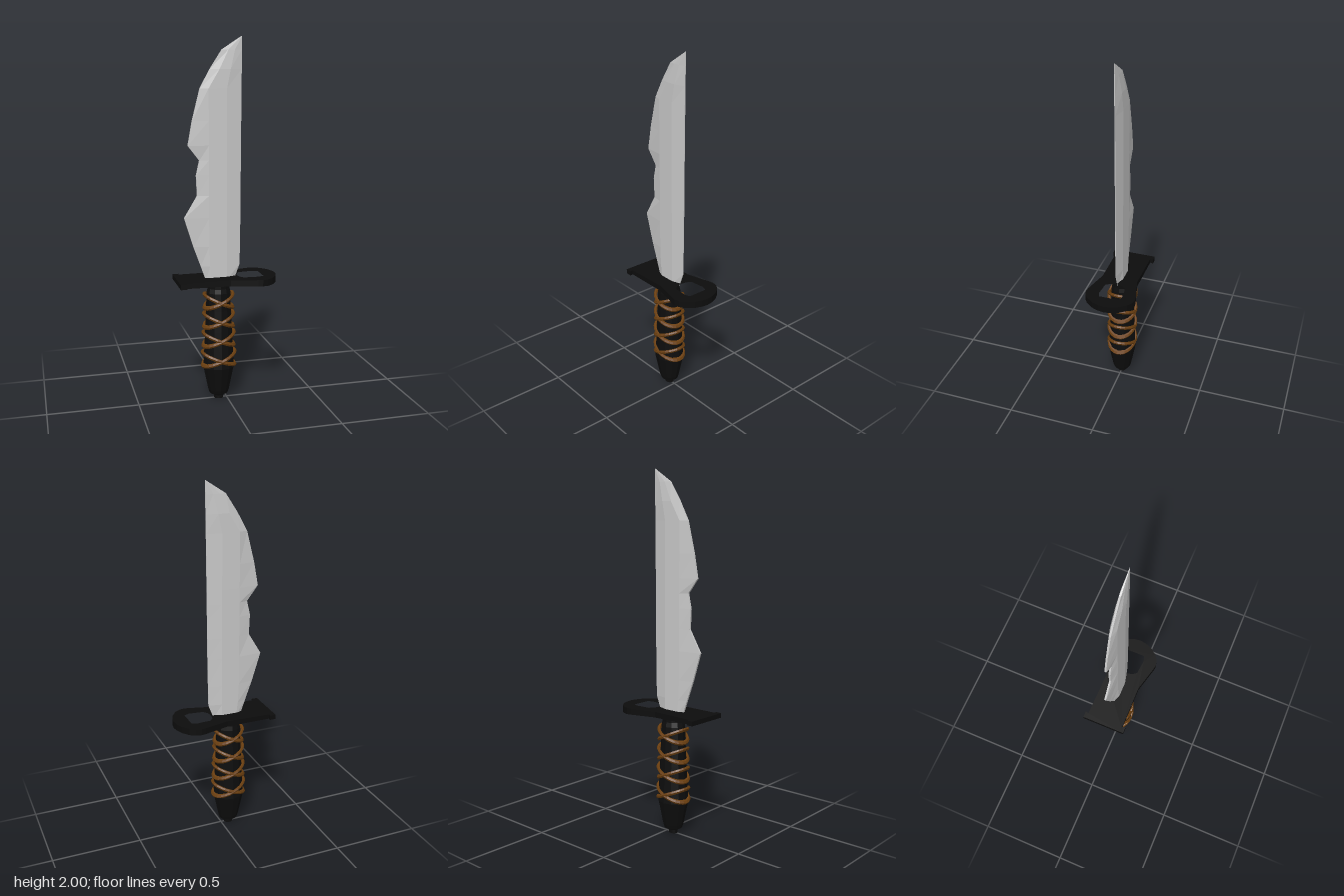
import * as THREE from 'three';

const mat = (name, color, flatShading = true) => {
  const m = new THREE.MeshStandardMaterial({ color, flatShading });
  m.name = name;
  return m;
};

// Rows from guard to tip: y, cutting edge x, front ridge x, back ridge x, spine x, half thickness
const BLADE = [
  [0.69, -0.117, -0.085, 0.0, 0.045, 0.018],
  [0.77, -0.145, -0.095, 0.0, 0.075, 0.018],
  [0.88, -0.185, -0.1, 0.0, 0.077, 0.018],
  [1.04, -0.235, -0.1, 0.0, 0.079, 0.018],
  [1.16, -0.163, -0.1, 0.0, 0.08, 0.018],
  [1.27, -0.168, -0.1, 0.0, 0.08, 0.018],
  [1.35, -0.15, -0.1, 0.0, 0.081, 0.018],
  [1.43, -0.212, -0.1, 0.0, 0.081, 0.018],
  [1.56, -0.188, -0.1, 0.0, 0.082, 0.018],
  [1.73, -0.145, -0.1, 0.0, 0.083, 0.018],
  [1.83, -0.09, -0.04, 0.02, 0.084, 0.017],
  [1.93, -0.025, 0.01, 0.045, 0.085, 0.009],
  [2.0, 0.083, 0.084, 0.085, 0.086, 0.001],
];

function bladeGeometry() {
  const pos = [], idx = [], n = 8;
  for (const [y, edge, a, b, spine, t] of BLADE) {
    const e = Math.min(0.005, t), s = Math.min(0.002, t);
    const ring = [[edge, e], [a, t], [b, t], [spine, s], [spine, -s], [b, -t], [a, -t], [edge, -e]];
    for (const [x, z] of ring) pos.push(x, y, z);
  }
  for (let r = 0; r < BLADE.length - 1; r++) {
    for (let i = 0; i < n; i++) {
      const p = r * n + i, q = r * n + (i + 1) % n;
      idx.push(p, q, q + n, p, q + n, p + n);
    }
  }
  // Close the tip
  const top = (BLADE.length - 1) * n;
  for (let i = 1; i < n - 1; i++) idx.push(top, top + i, top + i + 1);
  const g = new THREE.BufferGeometry();
  g.setAttribute('position', new THREE.Float32BufferAttribute(pos, 3));
  g.setIndex(idx);
  g.computeVertexNormals();
  return g;
}

// Closed outline mirrored across the long axis of the guard
function mirrored(half) {
  const pts = half.map(([x, y]) => new THREE.Vector2(x, y));
  const back = half.filter(([, y]) => y > 0).reverse().map(([x, y]) => new THREE.Vector2(x, -y));
  return [...pts, ...back];
}

function guardGeometry() {
  const shape = new THREE.Shape(mirrored([
    [-0.28, 0.123], [-0.245, 0.123], [-0.248, 0.105], [0, 0.102], [0.145, 0.138], [0.17, 0.142],
    [0.2, 0.135], [0.23, 0.115], [0.26, 0.075], [0.275, 0.035], [0.28, 0],
  ]));
  shape.holes.push(new THREE.Path(mirrored([
    [0.06, 0], [0.066, 0.035], [0.085, 0.06], [0.135, 0.063], [0.165, 0.067], [0.197, 0.056],
  ])));
  const g = new THREE.ExtrudeGeometry(shape, { depth: 1, bevelEnabled: false });
  g.translate(0, 0, -0.5);
  g.rotateX(-Math.PI / 2);
  // Thickness grows gently towards the ring end
  const p = g.attributes.position;
  for (let i = 0; i < p.count; i++) {
    const thickness = 0.032 + 0.022 * p.getX(i);
    p.setY(i, 0.69 + p.getY(i) * thickness);
  }
  g.computeVertexNormals();
  return g;
}

export function createModel() {
  const model = new THREE.Group();
  const steel = mat('steel', 0xc8c8c8);
  const black = mat('black', 0x0d0d0d);
  const leather = mat('leather', 0x6b3f10);
  const add = (name, geometry, material, parent = model) => {
    const mesh = new THREE.Mesh(geometry, material);
    mesh.name = name;
    parent.add(mesh);
    return mesh;
  };

  add('blade', bladeGeometry(), steel);
  add('guard', guardGeometry(), black);

  // Faceted grip with tapered pommel
  const profile = [[0, 0], [0.026, 0], [0.026, 0.018], [0.052, 0.032], [0.06, 0.055], [0.088, 0.19],
    [0.085, 0.24], [0.077, 0.4], [0.071, 0.52], [0.068, 0.62], [0.062, 0.645], [0.062, 0.69]]
    .map(([x, y]) => new THREE.Vector2(x, y));
  const grip = add('grip', new THREE.LatheGeometry(profile, 12), black);
  grip.position.x = -0.045;
  grip.scale.z = 0.92;

  // Crossed cord loops, in tilted pairs
  const wrap = new THREE.Group();
  wrap.name = 'gripWrap';
  model.add(wrap);
  [[0.235, 0.091], [0.35, 0.087], [0.46, 0.083], [0.57, 0.08]].forEach(([y, r]) => {
    for (const side of [-1, 1]) {
      const geometry = new THREE.TorusGeometry(1, 0.12, 6, 24);
      geometry.rotateX(Math.PI / 2);
      geometry.scale(r, 0.1, 0.078);
      // Shear the loop so its ends rise and fall across the grip
      const p = geometry.attributes.position;
      for (let i = 0; i < p.count; i++) p.setY(i, p.getY(i) + side * 0.036 * p.getX(i) / r);
      geometry.computeVertexNormals();
      add('cordLoop', geometry, leather, wrap).position.set(-0.045, y, 0);
    }
  });
  return model;
}
